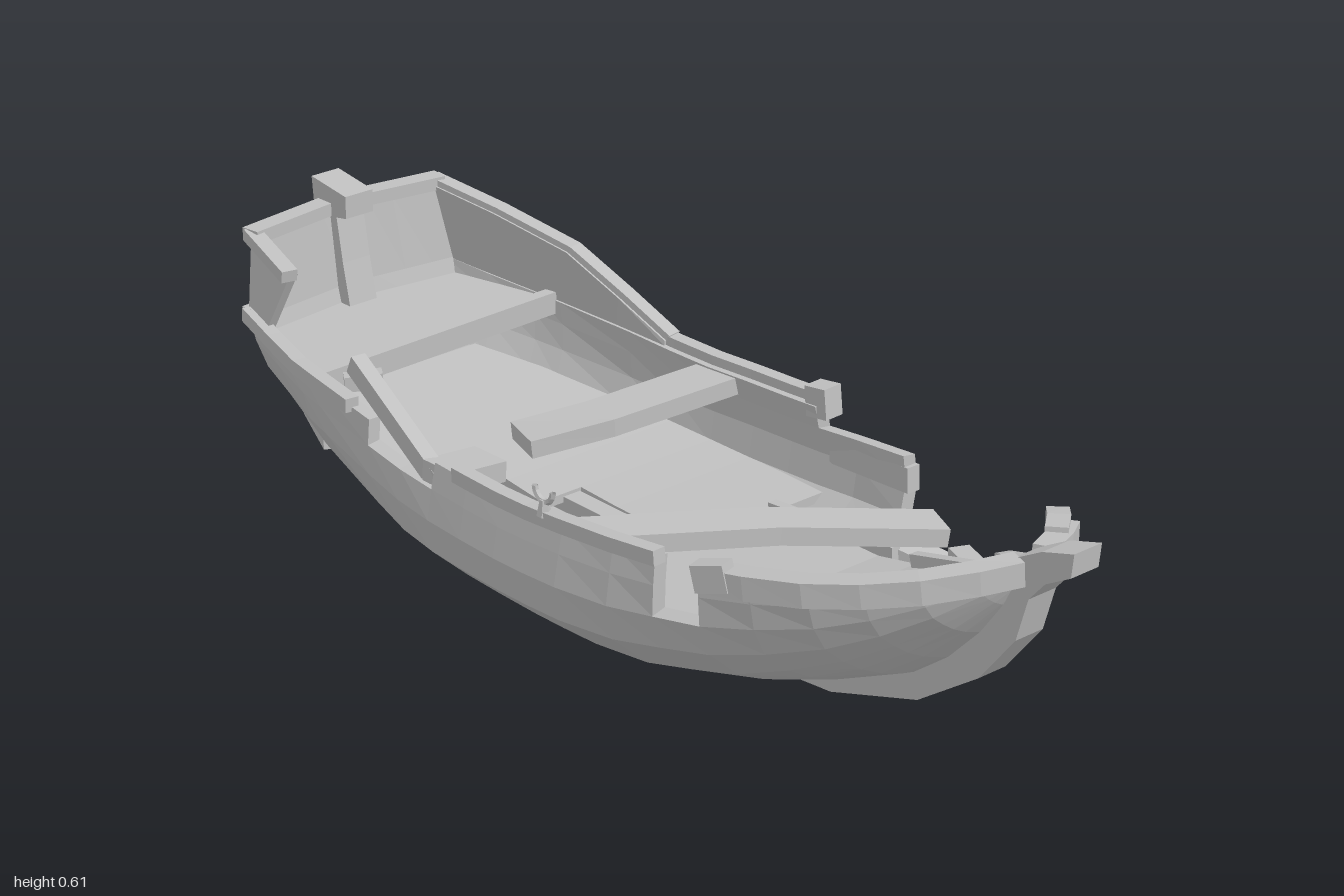
import * as THREE from 'three';

const wood = new THREE.MeshStandardMaterial({ color: 0xbfbfbf, flatShading: true, side: THREE.DoubleSide });
wood.name = 'weathered grey wood';

const V = (x, y, z) => new THREE.Vector3(x, y, z);
const clamp = THREE.MathUtils.clamp, lerp = THREE.MathUtils.lerp;

// piecewise linear lookup through [key, value] pairs
function table(pairs, t) {
  if (t <= pairs[0][0]) return pairs[0][1];
  for (let i = 1; i < pairs.length; i++) {
    const [a, b] = [pairs[i - 1], pairs[i]];
    if (t <= b[0]) return lerp(a[1], b[1], (t - a[0]) / (b[0] - a[0]));
  }
  return pairs[pairs.length - 1][1];
}

function meshFromQuads(name, quads) {
  const pos = [];
  for (const [a, b, c, d] of quads) for (const p of [a, b, c, a, c, d]) pos.push(p.x, p.y, p.z);
  const g = new THREE.BufferGeometry();
  g.setAttribute('position', new THREE.Float32BufferAttribute(pos, 3));
  g.computeVertexNormals();
  const m = new THREE.Mesh(g, wood);
  m.name = name;
  return m;
}

// thick sheet on a grid; cells rejected by keep become holes with closed edges
function sheet(name, nu, nv, outer, inner, keep = () => true) {
  const q = [];
  const has = (i, j) => i >= 0 && j >= 0 && i < nu && j < nv && keep(i, j);
  for (let i = 0; i < nu; i++) for (let j = 0; j < nv; j++) {
    if (!has(i, j)) continue;
    const c = [[i, j], [i, j + 1], [i + 1, j + 1], [i + 1, j]];
    const o = c.map(k => outer(...k)), n = c.map(k => inner(...k));
    q.push(o, [n[3], n[2], n[1], n[0]]);
    [[i - 1, j], [i, j + 1], [i + 1, j], [i, j - 1]].forEach((nb, k) => {
      const l = (k + 1) % 4;
      if (!has(...nb)) q.push([o[l], o[k], n[k], n[l]]);
    });
  }
  return meshFromQuads(name, q);
}

// rectangular timber swept along points
function beam(name, pts, w, h) {
  const p = pts.map(a => V(...a));
  const rings = p.map((c, i) => {
    const t = p[Math.min(i + 1, p.length - 1)].clone().sub(p[Math.max(i - 1, 0)]).normalize();
    const s = V(0, 1, 0).cross(t).normalize(), up = t.clone().cross(s);
    return [[1, 1], [-1, 1], [-1, -1], [1, -1]].map(([a, b]) =>
      c.clone().addScaledVector(s, a * w / 2).addScaledVector(up, b * h / 2));
  });
  const q = [];
  for (let i = 0; i + 1 < rings.length; i++) for (let k = 0; k < 4; k++) {
    const l = (k + 1) % 4;
    q.push([rings[i][k], rings[i][l], rings[i + 1][l], rings[i + 1][k]]);
  }
  q.push([...rings[0]].reverse(), rings[rings.length - 1]);
  return meshFromQuads(name, q);
}

// hull lines
const Z = [-.84, -.75, -.66, -.6, -.45, -.35, -.25, -.15, -.05, .03, .12, .25, .35, .45, .55, .65, .73, .8, .85, .88];
const WIDTH = [[-.84, .25], [-.65, .308], [-.4, .353], [-.1, .378], [.2, .387], [.45, .36], [.6, .32], [.7, .27], [.8, .18], [.85, .1], [.88, .03]];
const BOTTOM = [[-.84, .075], [-.4, .052], [0, .05], [.3, .057], [.45, .075], [.6, .12], [.7, .175], [.83, .31], [.88, .4]];
const SHEER = [[-.84, .395], [-.7, .372], [-.3, .34], [0, .34], [.2, .355], [.5, .38], [.7, .405], [.88, .435]];
const MID = [[0, .18, .36, .55, .75, .97, 1, .97, .94], [0, .005, .015, .07, .15, .4, .63, .83, 1]];
const STERN = [[0, .12, .25, .4, .58, .8, .92, .98, 1], [0, .08, .16, .25, .36, .52, .68, .85, 1]];
const BOW = [[0, .2, .38, .54, .68, .82, .92, .97, 1], [0, .06, .14, .24, .36, .5, .68, .85, 1]];

function hullPoint(z, j, k = 1) {
  const r = Math.abs(j), s = Math.sign(j);
  const ws = clamp((-z - .3) / .54, 0, 1), wb = clamp((z - .2) / .5, 0, 1);
  const f = n => MID[n][r] * (1 - ws - wb) + STERN[n][r] * ws + BOW[n][r] * wb;
  const yb = table(BOTTOM, z), ys = table(SHEER, z);
  const y = lerp(yb, ys, f(1));
  const rake = .27 * (y - .075) * clamp((-z - .4) / .44, 0, 1);
  return V(s * table(WIDTH, z) * f(0) * k, ys - (ys - y) * k, z - rake);
}

// which hull planks survive: r is the strake counted from the keel
function hullKeep(i, jj) {
  const j = jj - 8, right = j >= 0, r = right ? j : -j - 1, z = (Z[i] + Z[i + 1]) / 2;
  const within = (a, b) => z > a && z < b;
  if (right) {
    if (within(.26, .8) && r >= 6) return false;
    if (within(.26, .72) && r === 5) return false;
    if (within(.36, .62) && r === 4) return false;
    if (within(.36, .45) && r === 3) return false;
    return !(within(.03, .3) && r === 7);
  }
  if (within(-.5, -.2) && r === 7) return false;
  if (within(.35, .45) && r >= 6) return false;
  if (z < -.66 && r >= 3 && r <= 5 && !(z > -.75 && r === 5)) return false;
  if (within(-.66, -.6) && r === 4) return false;
  if (within(-.4, 0) && r === 1 && z > -.26) return false;
  return !(within(-.4, -.04) && r === 2);
}

const sheerRail = (side, a, b, lift = 0) => {
  const zs = [a, ...Z.filter(z => z > a + .01 && z < b - .01), b];
  return zs.map(z => { const p = hullPoint(z, 8 * side); return [p.x, p.y + lift, p.z]; });
};

export function createModel() {
  const g = new THREE.Group();
  g.name = 'wreckedBoat';

  g.add(sheet('hull', Z.length - 1, 16, (i, j) => hullPoint(Z[i], j - 8), (i, j) => hullPoint(Z[i], j - 8, .92), hullKeep));

  // transom: shallow vee, with a broken hole on its right side
  const tr = (i, j, dz) => {
    const u = (i - 4) / 4, p = j < 9 ? hullPoint(-.84, j) : V(.222, .55, -.945);
    return V(u * p.x, p.y, p.z - .03 * (1 - Math.abs(u)) + dz);
  };
  g.add(sheet('transom', 8, 9, (i, j) => tr(i, j, 0), (i, j) => tr(i, j, .025),
    (i, j) => !(i < 3 && j >= 3 && j <= 5 && !(i === 2 && j === 3))));

  // raised stern bulwarks, the right one broken short
  const tops = [[.222, .55, -.945], [.258, .52, -.78], [.29, .482, -.6], [.318, .415, -.48], [.338, .355, -.37]];
  const bulwark = (side, n) => {
    const at = (i, j, inset) => {
      const t = tops[i], b = hullPoint(Math.max(t[2], -.84), 8);
      return j ? V(side * (t[0] - inset), t[1], t[2]) : V(side * (b.x - inset), b.y, b.z);
    };
    g.add(sheet('sternBulwark', n, 1, (i, j) => at(i, j, 0), (i, j) => at(i, j, .02)));
    g.add(beam('sternBulwarkRail', tops.slice(0, n + 1).map(([x, y, z]) => [side * x, y, z]), .032, .024));
  };
  bulwark(1, 4);
  bulwark(-1, 1);
  g.add(beam('transomRail', [[-.232, .55, -.935], [0, .552, -.965], [.232, .55, -.935]], .04, .026));

  // gunwale rails, in surviving lengths
  for (const [side, a, b] of [[1, -.84, .04], [-1, -.84, -.5], [-1, -.18, .36]])
    g.add(beam('gunwale', sheerRail(side, a, b, .005), .028, .028));
  for (const [side, a] of [[1, .82], [-1, .47]])
    g.add(beam('bowRail', sheerRail(side, a, .88, -.005), .045, .045));
  g.add(beam('transomLedge', [[-.255, .4, -.925], [0, .4, -.955], [.255, .4, -.925]], .025, .025));
  g.add(beam('brokenRailEnd', [[.09, .44, .85], [.14, .435, .81], [.175, .425, .775]], .04, .035));
  g.add(beam('railEndBlock', [[.355, .345, .0], [.358, .35, .05]], .045, .06));
  g.add(beam('railEndBlock', [[-.36, .375, .46], [-.342, .39, .52]], .035, .05));

  // keel, stem and sternpost in one profile
  const profile = [[1, .5], [.93, .48], [.865, .445], [.86, .4], [.81, .31], [.68, .18], [.45, .085], [0, .06], [-.4, .06], [-.83, .085],
    [-.87, .26], [-.91, .45], [-.925, .54], [-.895, .545], [-.895, .59], [-1, .605], [-.985, .44], [-.95, .29], [-.9, .15], [-.895, .035], [-.86, .022],
    [-.4, 0], [0, .01], [.45, .04], [.66, .105], [.8, .2], [.88, .3], [.905, .385], [.94, .425], [.995, .455]];
  const keelGeo = new THREE.ExtrudeGeometry(new THREE.Shape(profile.map(p => new THREE.Vector2(...p))), { depth: .066, bevelEnabled: false });
  keelGeo.rotateY(-Math.PI / 2).translate(.033, 0, 0);
  const keel = new THREE.Mesh(keelGeo, wood);
  keel.name = 'keelAndPosts';
  g.add(keel);

  // lower deck rising to both ends, with a jagged opening and a broken left edge
  const DZ = [-.8, -.66, -.55, -.45, -.35, -.25, -.15, -.05, .05, .12, .25, .35, .45, .55, .65, .73, .8, .84];
  const DECK = [[-.8, .25], [-.6, .225], [-.4, .2], [-.2, .182], [.05, .175], [.35, .2], [.45, .222], [.55, .252], [.65, .288], [.73, .32], [.8, .355], [.84, .378]];
  const deckPoint = (i, j, dy) => {
    const z = DZ[i], y = table(DECK, z), prof = [];
    for (let k = 0; k < 9; k++) { const p = hullPoint(z, k, .95); prof.push([p.y, p.x]); }
    return V((j - 7) / 7 * table(prof, y - (z > .6 ? .02 : .008)), y + dy, z);
  };
  g.add(sheet('lowerDeck', DZ.length - 1, 14, (i, j) => deckPoint(i, j, -.018), (i, j) => deckPoint(i, j, 0), (i, j) => {
    const z = (DZ[i] + DZ[i + 1]) / 2;
    if (j >= 3 && j <= 4 && z > -.46 && z < 0) return false;
    if (j >= 4 && j <= 6 && z > -.26 && z < .06 - (j === 4 ? .1 : 0)) return false;
    if (j >= 11 && z > .05 && z < .36) return false;
    return !(j >= 11 && z > .36 && z < .74);
  }));

  // stern deck and the beam carrying it
  const sd = (i, j, y) => { const z = [-.66, -.78, -.92][i]; return V((j * 2 - 1) * [.285, .265, .235][i], y, z); };
  g.add(sheet('sternDeck', 2, 1, (i, j) => sd(i, j, .345), (i, j) => sd(i, j, .365)));
  g.add(beam('sternDeckBeam', [[-.28, .35, -.66], [0, .355, -.66], [.285, .36, -.66]], .025, .045));

  // cross beams, one fallen, one snapped
  g.add(beam('fallenBeam', [[-.345, .322, .12], [0, .285, .265], [.285, .238, .4]], .09, .035));
  g.add(beam('crossBeam', [[-.1, .295, -.3], [.05, .31, -.25], [.35, .32, -.225]], .1, .035));
  g.add(beam('snappedBeamStub', [[-.345, .315, -.24], [-.225, .305, -.24]], .09, .04));

  // loose and splintered planks
  const planks = [
    [[-.33, .3, -.26], [-.3, .435, -.53], .03, .04], [[-.26, .355, -.62], [-.2, .36, -.58], .03, .03],
    [[.24, .2, .32], [.31, .15, .46], .07, .02], [[.2, .235, .6], [.26, .225, .47], .04, .02],
    [[.175, .31, .72], [.215, .27, .62], .03, .04], [[.365, .255, .05], [.358, .265, .26], .03, .05],
    [[.215, .165, .04], [.215, .185, .36], .02, .05], [[.16, .23, .46], [.15, .285, .68], .02, .04],
    [[-.02, .165, -.35], [-.03, .165, .0], .04, .03], [[-.2, .175, -.2], [-.12, .165, .1], .03, .03],
    [[-.25, .21, -.68], [-.16, .2, -.86], .03, .025],
  ];
  for (const [a, b, w, h] of planks) g.add(beam('loosePlank', [a, b], w, h));

  // oar rest on the right gunwale
  const rest = new THREE.Group();
  rest.name = 'oarRest';
  const fork = new THREE.Mesh(new THREE.TorusGeometry(.024, .006, 5, 8, Math.PI), wood);
  fork.name = 'oarRestFork';
  fork.rotation.set(0, Math.PI / 2, Math.PI);
  fork.position.y = .045;
  const pin = new THREE.Mesh(new THREE.CylinderGeometry(.008, .014, .03, 6), wood);
  pin.name = 'oarRestPin';
  pin.position.y = .01;
  rest.add(fork, pin);
  rest.position.set(-.365, .36, .075);
  g.add(rest);
  return g;
}
